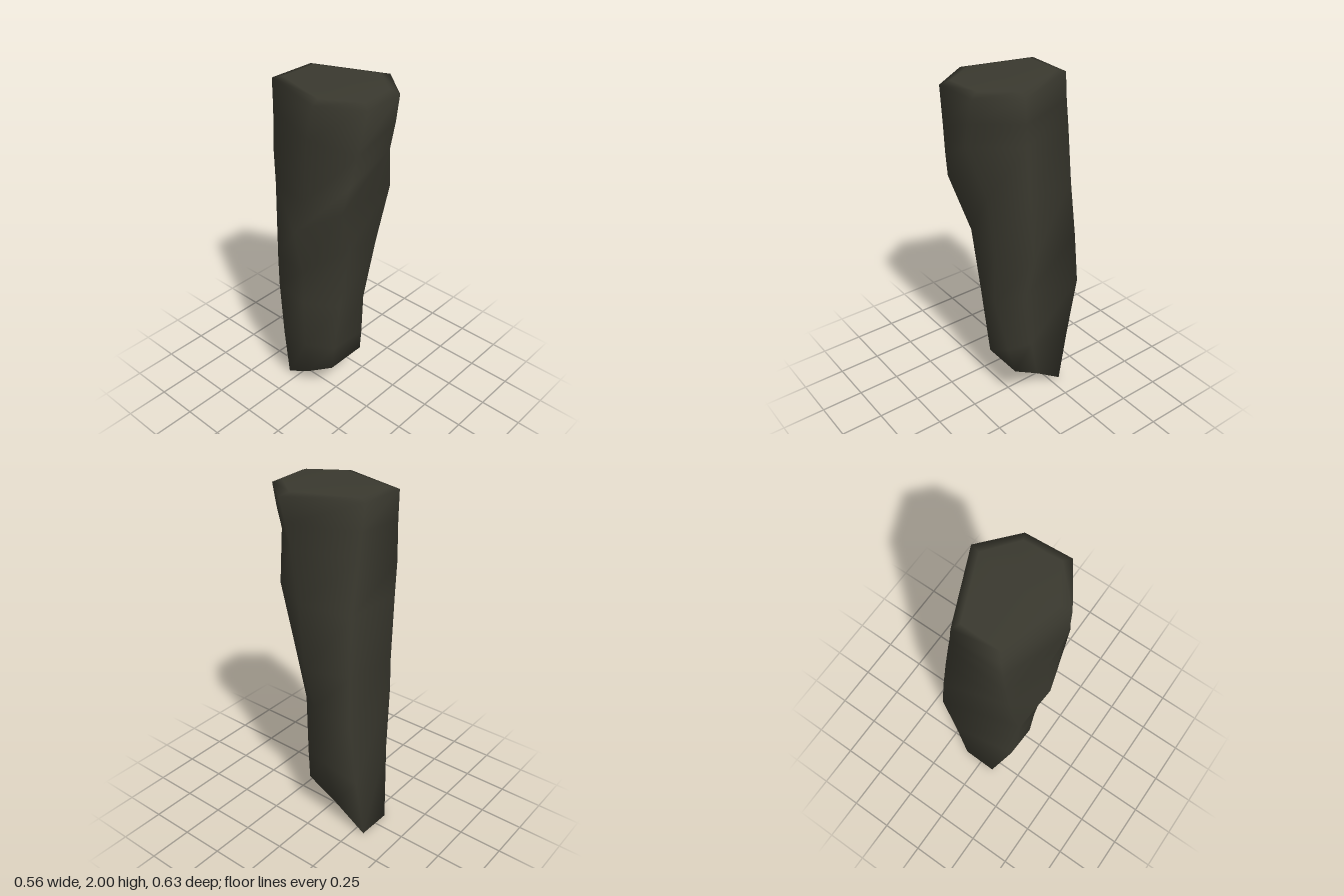
import * as THREE from 'three';

// Cross-sections from bottom to top as [x, y, z]; corners run front +x, side +x,
// back +x, back -x, side -x, front -x.
const SECTIONS = [
  [[0.15, 0.26, 0.06], [0.13, 0.14, -0.12], [0.115, 0, -0.31], [-0.09, 0, -0.315], [-0.11, 0.13, -0.12], [-0.1, 0.26, 0.06]],
  [[0.125, 0.42, 0.09], [0.16, 0.42, -0.05], [0.18, 0.4, -0.3], [-0.19, 0.42, -0.24], [-0.2, 0.43, -0.06], [-0.1, 0.42, 0.08]],
  [[0.07, 0.74, 0.145], [0.17, 0.78, 0], [0.245, 0.81, -0.3], [-0.22, 0.8, -0.23], [-0.215, 0.75, -0.05], [-0.1, 0.74, 0.12]],
  [[0.12, 1.1, 0.18], [0.24, 1.05, 0.01], [0.225, 1.1, -0.285], [-0.23, 1, -0.22], [-0.23, 0.98, -0.03], [-0.09, 1.15, 0.18]],
  [[0.15, 1.46, 0.24], [0.24, 1.43, 0.04], [0.195, 1.42, -0.265], [-0.185, 1.42, -0.26], [-0.285, 1.25, -0.03], [-0.215, 1.44, 0.235]],
  [[0.06, 1.72, 0.3], [0.25, 1.72, 0.07], [0.15, 1.72, -0.27], [-0.18, 1.6, -0.27], [-0.23, 1.43, 0], [-0.19, 1.58, 0.26]],
  [[0.09, 1.85, 0.305], [0.265, 1.85, 0.09], [0.13, 1.85, -0.27], [-0.165, 1.83, -0.275], [-0.285, 1.81, 0.07], [-0.16, 1.75, 0.285]],
  [[0.12, 1.98, 0.3], [0.28, 1.985, 0.11], [0.11, 1.99, -0.275], [-0.16, 1.99, -0.28], [-0.27, 1.985, 0.1], [-0.13, 1.98, 0.315]],
];

// Narrow bevel round the flat upper end
const BEVEL = SECTIONS[SECTIONS.length - 1].map(([x, , z]) => [x * 0.8, 2, z * 0.85]);

// Joins the sections into one closed, smooth skin
function loft(sections) {
  const n = sections[0].length;
  const points = sections.flat();
  const index = [];
  for (let r = 0; r < sections.length - 1; r++) {
    for (let i = 0; i < n; i++) {
      const a = r * n + i, b = r * n + (i + 1) % n;
      index.push(a, b, b + n, a, b + n, a + n);
    }
  }
  // End caps fan out from the middle of each end section
  const middle = (ring) => [0, 1, 2].map((k) => ring.reduce((sum, p) => sum + p[k], 0) / n);
  const last = (sections.length - 1) * n;
  const bottom = points.push(middle(sections[0])) - 1;
  const top = points.push(middle(sections[sections.length - 1])) - 1;
  for (let i = 0; i < n; i++) {
    const j = (i + 1) % n;
    index.push(bottom, j, i, top, last + i, last + j);
  }
  const geometry = new THREE.BufferGeometry();
  geometry.setAttribute('position', new THREE.Float32BufferAttribute(points.flat(), 3));
  geometry.setIndex(index);
  geometry.computeVertexNormals();
  return geometry;
}

export function createModel() {
  const group = new THREE.Group();
  const darkOlive = new THREE.MeshStandardMaterial({ color: 0x3a392f });
  darkOlive.name = 'darkOlive';

  // Tapering six-sided shaft with a slanted lower end
  const shaft = new THREE.Mesh(loft([...SECTIONS, BEVEL]), darkOlive);
  shaft.name = 'shaft';
  group.add(shaft);
  return group;
}
